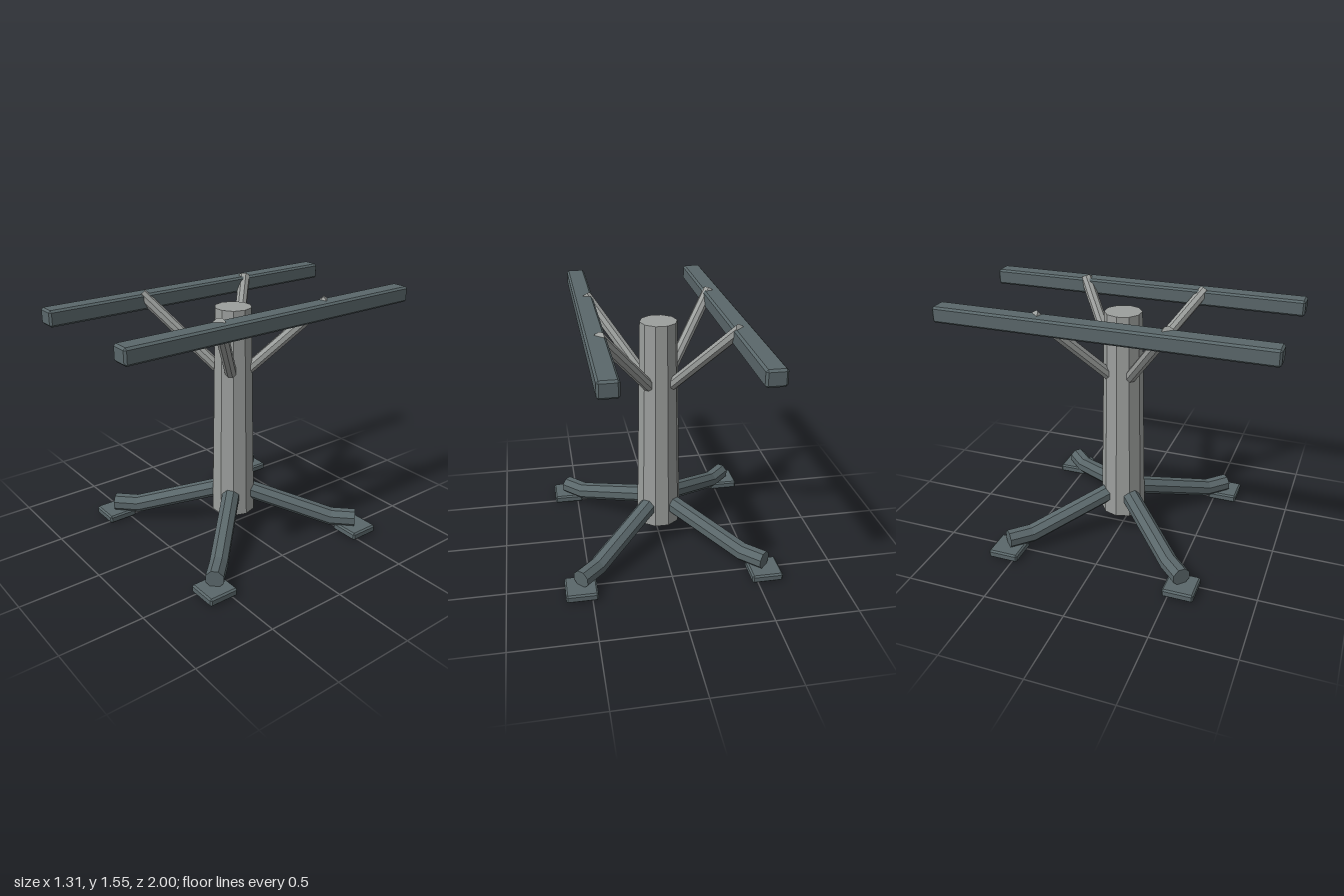
import * as THREE from 'three';
import { ConvexGeometry } from 'three/addons/geometries/ConvexGeometry.js';

const darkSteel = new THREE.MeshStandardMaterial({ name: 'darkSteel', color: 0x5a676a });
const paleSteel = new THREE.MeshStandardMaterial({ name: 'paleSteel', color: 0x9c9f9d });

function addMesh(parent, name, geometry, material) {
  const mesh = new THREE.Mesh(geometry, material);
  mesh.name = name;
  parent.add(mesh);
  return mesh;
}

// Box with a single flat chamfer on every edge.
function chamferBox(w, h, d, c) {
  const half = [w / 2, h / 2, d / 2];
  const points = [];
  for (const sx of [-1, 1]) for (const sy of [-1, 1]) for (const sz of [-1, 1]) {
    for (let axis = 0; axis < 3; axis++) {
      const p = half.map((v, i) => (i === axis ? v : v - c));
      points.push(new THREE.Vector3(p[0] * sx, p[1] * sy, p[2] * sz));
    }
  }
  return new ConvexGeometry(points);
}

// Flat-sided bar with mitred bends along a path of [distance, height] points.
function bar(path, radius, sides = 8) {
  const angles = path.slice(1).map((p, i) => Math.atan2(p[1] - path[i][1], p[0] - path[i][0]));
  const rings = path.map(([x, y], i) => {
    const before = angles[Math.max(i - 1, 0)];
    const after = angles[Math.min(i, angles.length - 1)];
    const mid = (before + after) / 2;
    const stretch = 1 / Math.cos((after - before) / 2);
    return Array.from({ length: sides }, (_, k) => {
      const a = ((k + 0.5) / sides) * Math.PI * 2;
      const up = Math.cos(a) * radius * stretch;
      return [x - Math.sin(mid) * up, y + Math.cos(mid) * up, Math.sin(a) * radius];
    });
  });
  const v = [];
  const first = [...path[0], 0];
  const last = [...path[path.length - 1], 0];
  for (let k = 0; k < sides; k++) {
    const n = (k + 1) % sides;
    for (let i = 0; i < rings.length - 1; i++) {
      const [p, q] = [rings[i], rings[i + 1]];
      v.push(...p[k], ...p[n], ...q[k], ...p[n], ...q[n], ...q[k]);
    }
    const end = rings[rings.length - 1];
    v.push(...first, ...rings[0][n], ...rings[0][k], ...last, ...end[k], ...end[n]);
  }
  const geometry = new THREE.BufferGeometry();
  geometry.setAttribute('position', new THREE.Float32BufferAttribute(v, 3));
  geometry.computeVertexNormals();
  return geometry;
}

export function createModel() {
  const model = new THREE.Group();
  model.name = 'tableBase';

  // Tapered ten-sided column
  const columnGeometry = new THREE.CylinderGeometry(0.113, 0.14, 1.34, 10).toNonIndexed();
  columnGeometry.computeVertexNormals();
  const column = addMesh(model, 'column', columnGeometry, paleSteel);
  column.position.y = 0.8;
  column.rotation.y = Math.PI / 2;

  // Four diagonal legs and upper struts
  const diagonal = Math.SQRT2;
  const legGeometry = bar([[0.07 * diagonal, 0.26], [0.45 * diagonal, 0.095], [0.56 * diagonal, 0.095]], 0.057);
  const strutGeometry = bar([[0.07 * diagonal, 1.09], [0.39 * diagonal, 1.525]], 0.036);
  const footGeometry = chamferBox(0.19, 0.05, 0.19, 0.01);
  for (let i = 0; i < 4; i++) {
    const turn = Math.PI / 4 + (i * Math.PI) / 2;
    addMesh(model, 'leg', legGeometry, darkSteel).rotation.y = turn;
    addMesh(model, 'strut', strutGeometry, paleSteel).rotation.y = turn;
    const foot = addMesh(model, 'foot', footGeometry, darkSteel);
    foot.position.set(0.56 * Math.sign(Math.cos(turn)), 0.025, 0.56 * Math.sign(Math.sin(turn)));
  }

  // Two long rails for the top
  const railGeometry = chamferBox(0.116, 0.096, 2, 0.012);
  for (const side of [-1, 1]) {
    const rail = addMesh(model, side > 0 ? 'leftRail' : 'rightRail', railGeometry, darkSteel);
    rail.position.set(side * 0.407, 1.482, 0);
  }
  return model;
}
